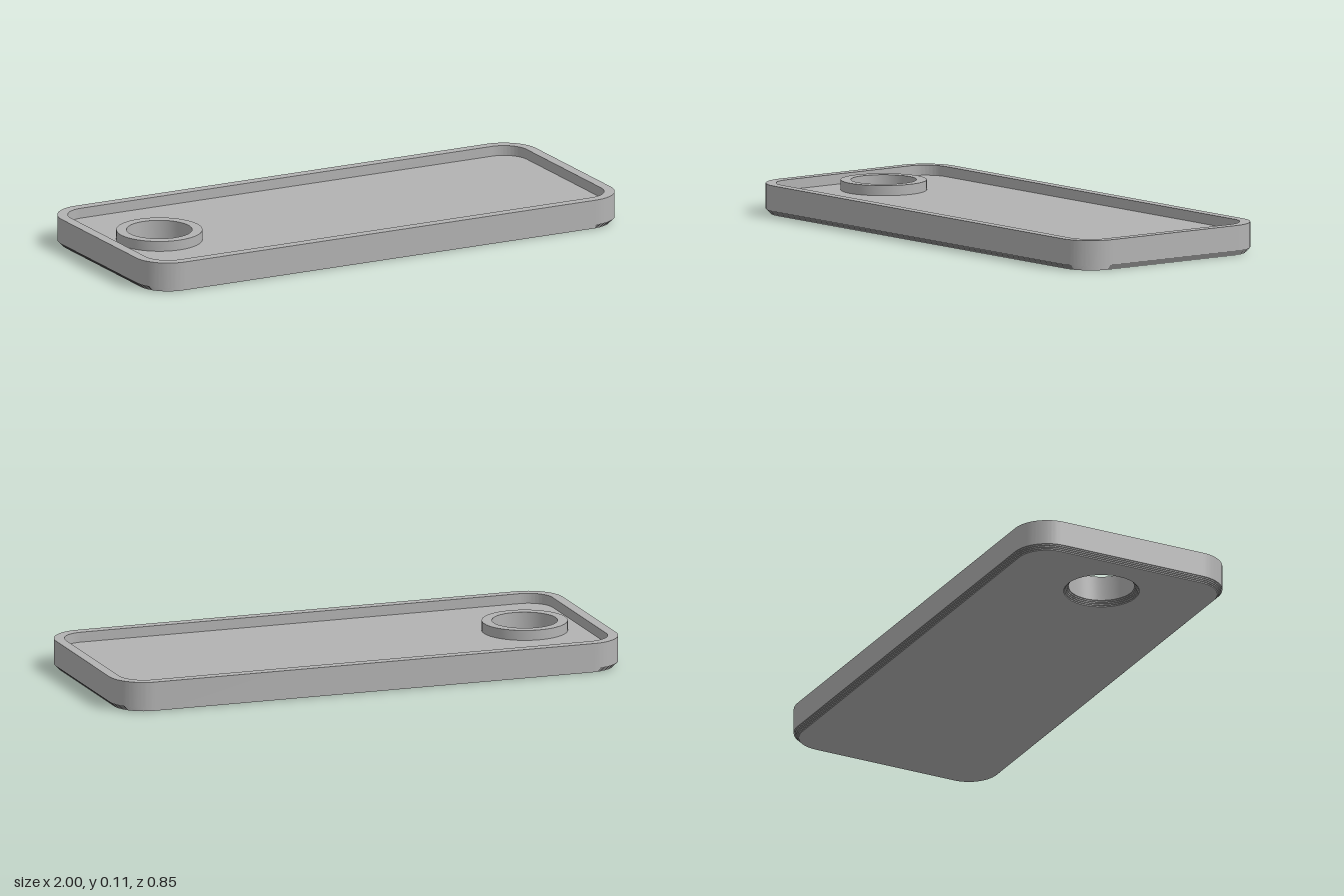
import * as THREE from 'three';
import { toCreasedNormals } from 'three/addons/utils/BufferGeometryUtils.js';

const W = 1, D = 0.426, R = 0.135;       // half length, half depth, corner radius
const TOP = 0.1145, FLOOR = 0.0765;      // rim height, recessed floor height
const RIM = 0.039, STEP = 0.0046, STEPS = 4;
const HOLE_X = -0.745, HOLE_R = 0.122, COLLAR_R = 0.16;

// Rounded rectangle, counter-clockwise, shrunk by an inset
function outline(inset) {
  const w = W - inset, d = D - inset, r = R - inset;
  const s = new THREE.Shape();
  s.absarc(w - r, d - r, r, 0, Math.PI / 2);
  s.absarc(r - w, d - r, r, Math.PI / 2, Math.PI);
  s.absarc(r - w, r - d, r, Math.PI, Math.PI * 1.5);
  s.absarc(w - r, r - d, r, Math.PI * 1.5, Math.PI * 2);
  s.closePath();
  return s;
}

// Surface through stacked rounded rectangles, given as [inset, y]
function loft(levels) {
  const pos = [], index = [];
  let n = 0;
  for (const [inset, y] of levels) {
    const pts = outline(inset).getPoints(16);
    n = pts.length;
    for (const p of pts) pos.push(p.x, y, -p.y);
  }
  for (let j = 0; j < levels.length - 1; j++) {
    for (let i = 0; i < n; i++) {
      const a = j * n + i, b = j * n + (i + 1) % n;
      index.push(a, b, b + n, a, b + n, a + n);
    }
  }
  const g = new THREE.BufferGeometry();
  g.setAttribute('position', new THREE.Float32BufferAttribute(pos, 3));
  g.setIndex(index);
  return toCreasedNormals(g, 0.5);
}

// Flat rounded plate with the round hole cut out
function plate(inset, holeRadius) {
  const s = outline(inset);
  s.holes.push(new THREE.Path().absarc(HOLE_X, 0, holeRadius, 0, Math.PI * 2, true));
  return new THREE.ShapeGeometry(s, 16);
}

export function createModel() {
  const model = new THREE.Group();
  const grey = new THREE.MeshStandardMaterial({ color: 0xb3b3b3 });
  grey.name = 'light grey';
  const add = (name, geometry) => {
    const mesh = new THREE.Mesh(geometry, grey);
    mesh.name = name;
    model.add(mesh);
    return mesh;
  };

  // Small stairs that chamfer the bottom edges: [inset, y] from the ground up
  const stairs = [];
  for (let i = 0; i < STEPS; i++) {
    const inset = (STEPS - i) * STEP;
    stairs.push([inset, i * STEP], [inset, (i + 1) * STEP]);
  }
  const stairTop = STEPS * STEP;

  // Outer wall, rim and inner wall
  add('rim', loft([...stairs, [0, stairTop], [0, TOP], [RIM, TOP], [RIM, FLOOR]]));

  // Recessed floor and underside
  const floor = plate(RIM, COLLAR_R).rotateX(-Math.PI / 2).translate(0, FLOOR, 0);
  add('floor', floor);
  add('underside', plate(stairTop, HOLE_R + stairTop).rotateX(Math.PI / 2));

  // Raised collar and the bore, with the stairs opening out at the bottom
  const profile = [
    [COLLAR_R, FLOOR], [COLLAR_R, TOP], [HOLE_R, TOP], [HOLE_R, stairTop],
    ...stairs.slice().reverse().map(([inset, y]) => [HOLE_R + inset, y]),
  ].map(([x, y]) => new THREE.Vector2(x, y));
  const collar = add('holeCollar', toCreasedNormals(new THREE.LatheGeometry(profile, 64), 0.5));
  collar.position.x = HOLE_X;

  return model;
}
